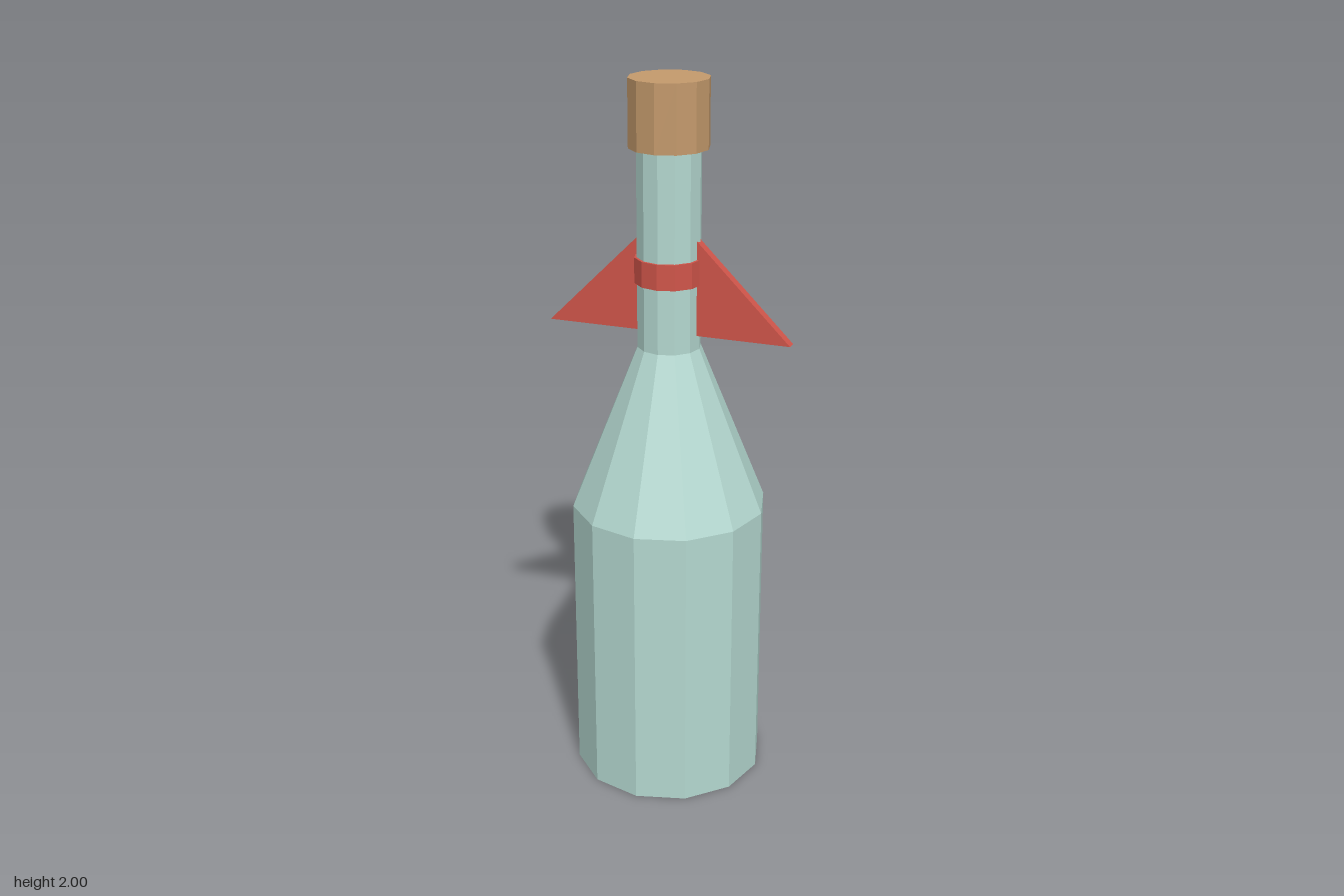
import * as THREE from 'three';

const SIDES = 12;

function material(name, color) {
  const m = new THREE.MeshStandardMaterial({ color, flatShading: true });
  m.name = name;
  return m;
}

export function createModel() {
  const model = new THREE.Group();
  model.name = 'finnedBottle';

  const glass = material('paleGreenGlass', 0xb4d8d0);
  const cork = material('corkBrown', 0xc49a6c);
  const red = material('red', 0xd0554a);

  const add = (name, geometry, mat, y = 0) => {
    const mesh = new THREE.Mesh(geometry, mat);
    mesh.name = name;
    mesh.position.y = y;
    model.add(mesh);
    return mesh;
  };

  // Faceted drum between two heights
  const drum = (name, radius, bottom, top, mat) =>
    add(name, new THREE.CylinderGeometry(radius, radius, top - bottom, SIDES), mat, (bottom + top) / 2);

  // Bottle: closed base, straight body, sloped shoulder, thin neck
  const profile = [[0, 0], [0.272, 0], [0.272, 0.82], [0.087, 1.28], [0.087, 1.84]];
  add('bottle', new THREE.LatheGeometry(profile.map(([r, y]) => new THREE.Vector2(r, y)), SIDES), glass);

  // Stopper and neck band
  drum('stopper', 0.108, 1.82, 2, cork);
  drum('neckBand', 0.094, 1.46, 1.53, red);

  // Triangular fins on both sides of the neck
  const thickness = 0.028;
  for (const [name, side] of [['leftFin', 1], ['rightFin', -1]]) {
    const corners = [[0.083, 1.32], [0.344, 1.32], [0.083, 1.58]];
    const shape = new THREE.Shape(corners.map(([x, y]) => new THREE.Vector2(side * x, y)));
    const geometry = new THREE.ExtrudeGeometry(shape, { depth: thickness, bevelEnabled: false });
    geometry.translate(0, 0, -thickness / 2);
    add(name, geometry, red);
  }

  return model;
}
